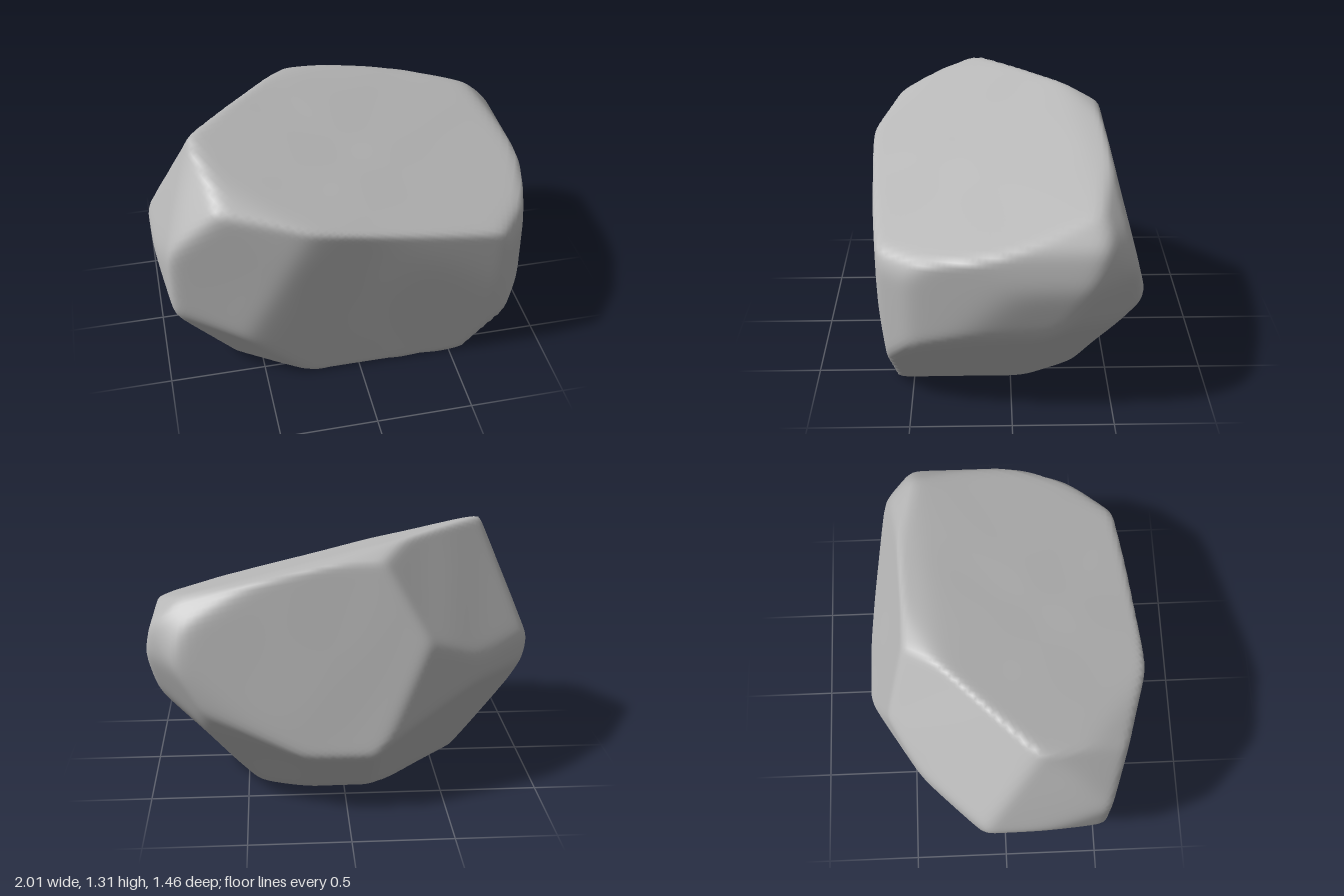
import * as THREE from 'three';
import { mergeVertices } from 'three/addons/utils/BufferGeometryUtils.js';

const CORE_HEIGHT = 0.62;

// Cleaved faces: compass angle (0 front, 90 the rock's left), upward tilt, distance from the core.
const facets = [
  // top slope and its rims
  [45, 71, 0.512], [90, 78, 0.612], [180, 69, 0.75], [0, 61, 0.733], [-90, 84, 0.775],
  // front
  [0, -8, 0.657], [6, 0, 0.717], [-17, 0, 0.77], [-32, -32, 0.857], [50, 30, 0.93],
  // left end
  [90, 47, 0.879], [90, 13, 1.003], [90, -12, 0.951], [90, -39, 0.826], [49, 0, 0.986], [76, 0, 0.97],
  // back left corner
  [127, 0, 1.03], [144, 24, 0.965], [126, -23, 0.897], [155, 44, 0.83], [118, -40, 0.801], [151, -38, 0.764],
  // back
  [180, 15, 0.623], [168, 0, 0.767], [180, -40, 0.749],
  // chamfered back right corner
  [-135, 31, 0.723], [-135, -33, 0.674], [-150, 0, 0.714], [-134, 0, 0.79],
  // right end
  [-90, 21, 0.963], [-90, -17, 0.942], [-90, -34, 0.874], [-60, 35, 1.02], [-78, 0, 1.024],
  // underside
  [0, -90, 0.62], [180, -74, 0.687],
];

// Sphere pushed in to the facets; a power mean softens the ridges between them.
function boulderGeometry() {
  const sphere = new THREE.IcosahedronGeometry(1, 40);
  sphere.deleteAttribute('uv');
  sphere.deleteAttribute('normal');
  const geometry = mergeVertices(sphere, 1e-4);

  const planes = facets.map(([angle, tilt, distance]) => new THREE.Vector3().setFromSphericalCoords(
    1 / distance, THREE.MathUtils.degToRad(90 - tilt), THREE.MathUtils.degToRad(angle)));

  const pos = geometry.attributes.position, power = 75, d = new THREE.Vector3();
  for (let i = 0; i < pos.count; i++) {
    d.fromBufferAttribute(pos, i).normalize();
    let sum = 0;
    for (const p of planes) sum += Math.max(0, p.dot(d)) ** power;
    // a faint ripple keeps the broad faces from being perfectly flat
    const ripple = 1.012 + 0.003 * Math.sin(7 * d.x + 2 * d.y) * Math.sin(6 * d.z - 5 * d.y + 1);
    d.multiplyScalar(ripple * sum ** (-1 / power));
    pos.setXYZ(i, d.x, Math.max(0, d.y + CORE_HEIGHT), d.z);
  }
  geometry.computeVertexNormals();
  return geometry;
}

export function createModel() {
  const stone = new THREE.MeshStandardMaterial({ color: 0xb8b8b8 });
  stone.name = 'grey stone';
  const boulder = new THREE.Mesh(boulderGeometry(), stone);
  boulder.name = 'boulder';
  const group = new THREE.Group();
  group.name = 'rock';
  group.add(boulder);
  return group;
}
